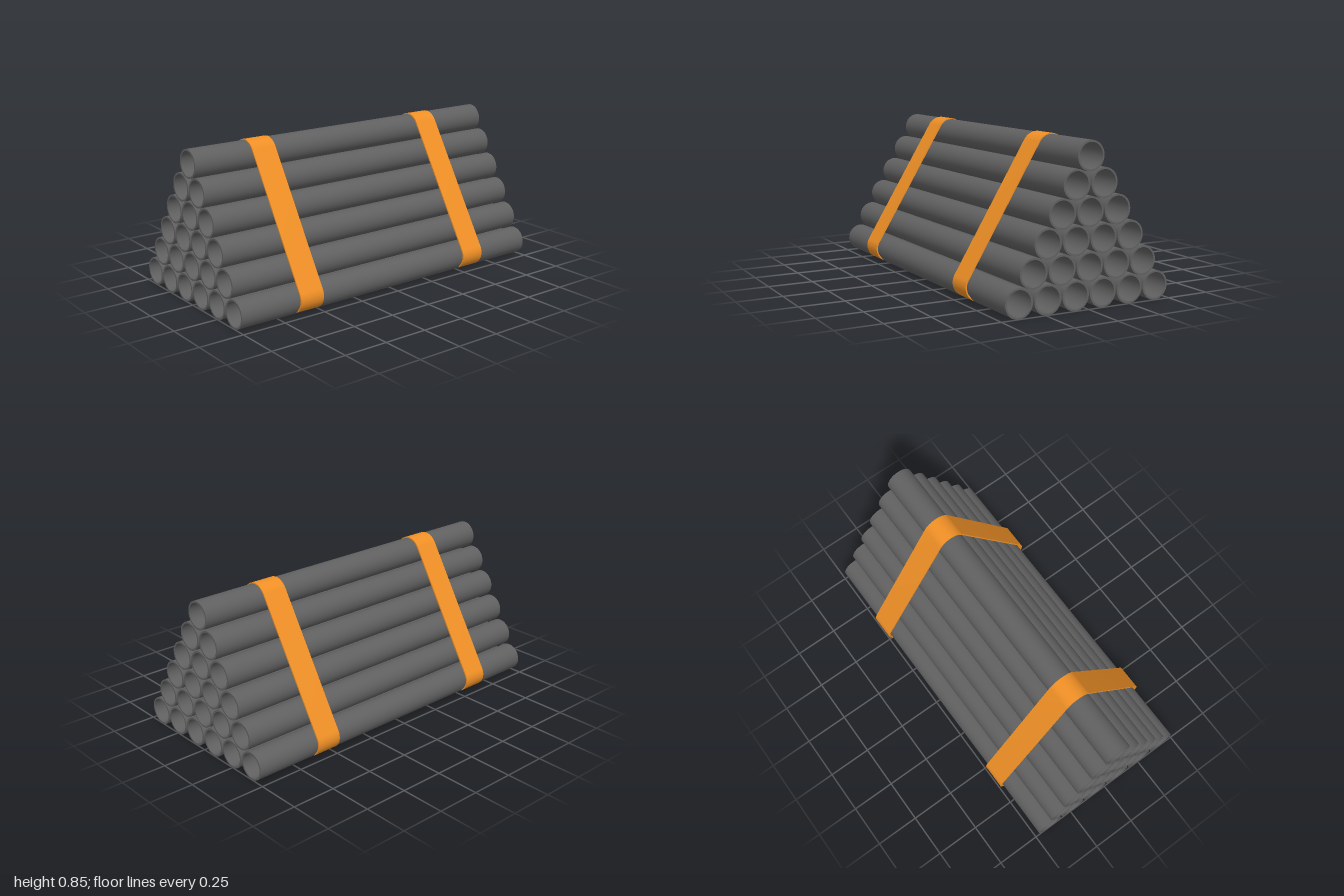
import * as THREE from 'three';
import { toCreasedNormals } from 'three/addons/utils/BufferGeometryUtils.js';

const ROWS = 6, LENGTH = 2, OUTER = 0.078, INNER = 0.068;
const STEP_Z = 0.1626, STEP_Y = 0.1386;

// Rounded triangle around the stack, pulled in by `inset`
function strapOutline(path, inset) {
  const lean = 0.54;
  const low = 0.079 - inset, top = 0.09 - inset;
  path.absarc(0.424, 0.091, low, -Math.PI / 2, lean, false);
  path.absarc(0, 0.765, top, lean, Math.PI - lean, false);
  path.absarc(-0.424, 0.091, low, Math.PI - lean, Math.PI * 1.5, false);
  path.closePath();
  return path;
}

export function createModel() {
  const group = new THREE.Group();
  group.name = 'pipeBundle';
  const steel = new THREE.MeshStandardMaterial({ color: 0x606060 });
  const orange = new THREE.MeshStandardMaterial({ color: 0xf09026 });

  // Hollow pipe: a closed wall section turned around the x axis
  const h = LENGTH / 2;
  const wall = [[OUTER, -h], [OUTER, h], [INNER, h], [INNER, -h], [OUTER, -h]]
    .map(([r, y]) => new THREE.Vector2(r, y));
  const pipeGeometry = toCreasedNormals(new THREE.LatheGeometry(wall, 32), 0.6);
  pipeGeometry.rotateZ(Math.PI / 2);

  // Triangular stack, one pipe fewer in each row
  const pipes = new THREE.Group();
  pipes.name = 'pipes';
  for (let row = 0; row < ROWS; row++) {
    const count = ROWS - row;
    for (let i = 0; i < count; i++) {
      const pipe = new THREE.Mesh(pipeGeometry, steel);
      pipe.name = 'pipe';
      pipe.position.set(0, 0.079 + row * STEP_Y, (i - (count - 1) / 2) * STEP_Z);
      pipes.add(pipe);
    }
  }
  group.add(pipes);

  // Two flat straps holding the stack together
  const width = 0.144;
  const band = strapOutline(new THREE.Shape(), 0);
  band.holes.push(strapOutline(new THREE.Path(), 0.008));
  const strapGeometry = toCreasedNormals(
    new THREE.ExtrudeGeometry(band, { depth: width, bevelEnabled: false, curveSegments: 16 }), 0.6);
  strapGeometry.translate(0, 0, -width / 2).rotateY(Math.PI / 2);
  for (const [name, x] of [['rightStrap', -0.582], ['leftStrap', 0.56]]) {
    const strap = new THREE.Mesh(strapGeometry, orange);
    strap.name = name;
    strap.position.x = x;
    group.add(strap);
  }

  // The bundle lies very slightly askew
  group.rotation.y = 0.0035;
  return group;
}
